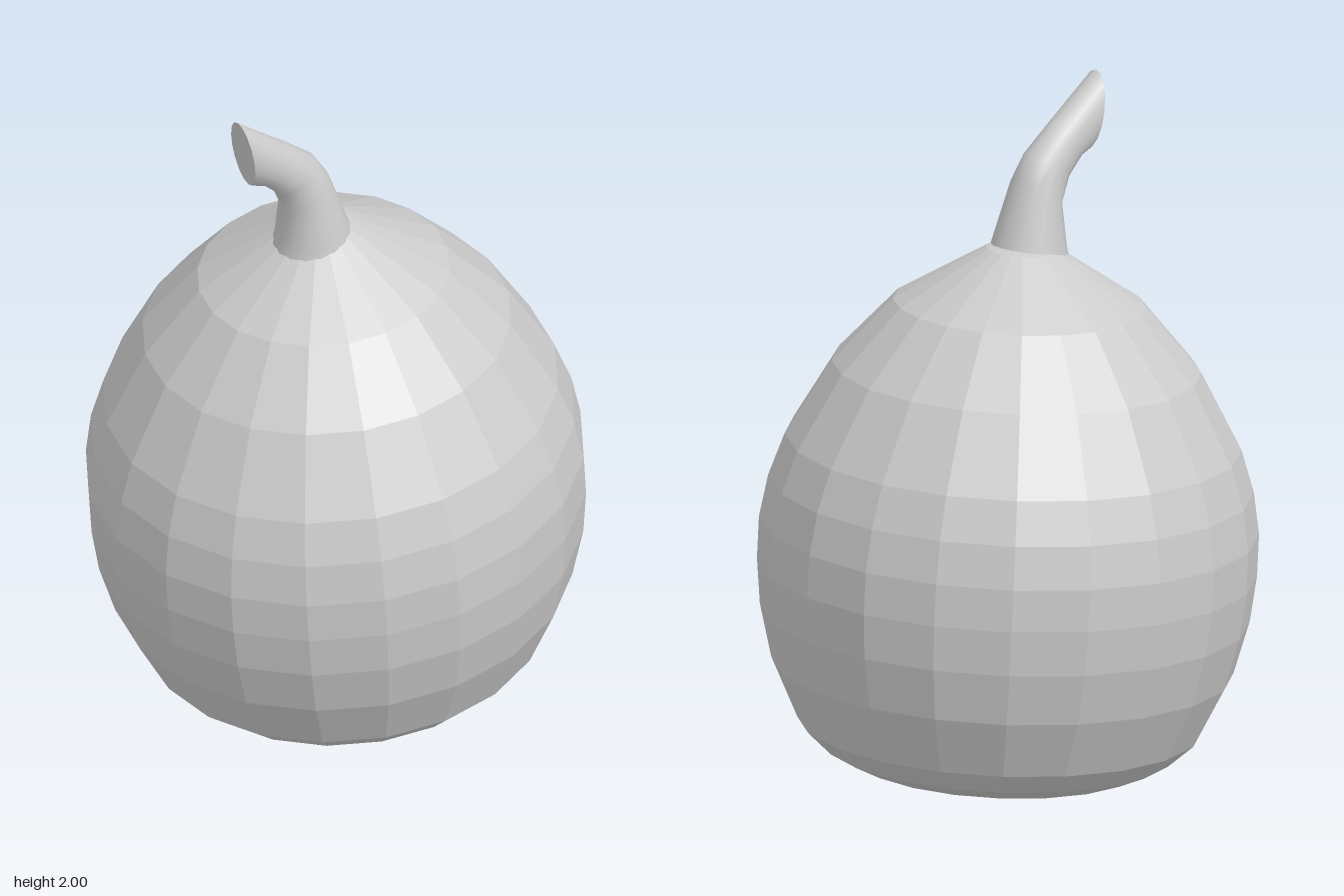
import * as THREE from 'three';

const grey = (flatShading) => new THREE.MeshStandardMaterial({ color: 0xcccccc, flatShading, side: THREE.DoubleSide });

// Faceted bulb, turned from a profile of [radius, height] and leaning slightly
function createBody() {
  const profile = [
    [0, 0.003], [0.1, 0.008], [0.21, 0.027], [0.41, 0.077], [0.49, 0.115], [0.56, 0.18],
    [0.64, 0.35], [0.678, 0.5], [0.692, 0.63], [0.692, 0.75], [0.672, 0.87], [0.632, 0.99],
    [0.512, 1.205], [0.35, 1.388], [0.1, 1.545], [0, 1.57],
  ].map(([r, y]) => new THREE.Vector2(r, y - 0.7));
  const body = new THREE.Mesh(new THREE.LatheGeometry(profile, 20), grey(true));
  body.name = 'body';
  body.scale.z = 1.025;
  body.position.y = 0.7;
  body.rotation.set(0.05, 0, 0.033);
  return body;
}

// Bent stem: each ring spans a front and a back point in the plane it leans in
function createStem() {
  const sides = 16;
  const lean = new THREE.Vector3(-0.52, 0, 0.855).normalize();
  const across = new THREE.Vector3(lean.z, 0, -lean.x);
  const base = new THREE.Vector3(-0.038, 0, 0.075);
  const rings = [ // front distance, front height, back distance, back height, half width
    [0.115, 1.49, -0.115, 1.51, 0.115],
    [0.105, 1.535, -0.105, 1.555, 0.106],
    [0.095, 1.65, -0.04, 1.735, 0.076],
    [0.125, 1.72, 0.005, 1.805, 0.067],
    [0.172, 1.765, 0.09, 1.875, 0.06],
    [0.215, 1.78, 0.25, 2.0, 0.054],
  ];
  const at = (t, y) => base.clone().addScaledVector(lean, t).setY(y);
  const ringPoint = ([ft, fy, bt, by, w], j) => {
    const a = (j / sides) * Math.PI * 2;
    return at(bt, by).lerp(at(ft, fy), (1 + Math.cos(a)) / 2).addScaledVector(across, w * Math.sin(a));
  };
  const build = (points, index) => {
    const g = new THREE.BufferGeometry().setFromPoints(points);
    g.setIndex(index);
    g.computeVertexNormals();
    return g;
  };

  const points = [], index = [];
  rings.forEach((ring, i) => {
    for (let j = 0; j < sides; j++) {
      points.push(ringPoint(ring, j));
      if (i === rings.length - 1) continue;
      const a = i * sides + j, b = i * sides + ((j + 1) % sides);
      index.push(a, b, b + sides, a, b + sides, a + sides);
    }
  });
  const stalk = new THREE.Mesh(build(points, index), grey(false));
  stalk.name = 'stalk';

  // Slanted flat cut at the end
  const end = points.slice(-sides), capIndex = [];
  for (let j = 1; j < sides - 1; j++) capIndex.push(0, j, j + 1);
  const cut = new THREE.Mesh(build(end, capIndex), grey(true));
  cut.name = 'stalkCut';

  const stem = new THREE.Group();
  stem.name = 'stem';
  stem.add(stalk, cut);
  return stem;
}

export function createModel() {
  const model = new THREE.Group();
  model.name = 'gourd';
  model.add(createBody(), createStem());
  return model;
}
